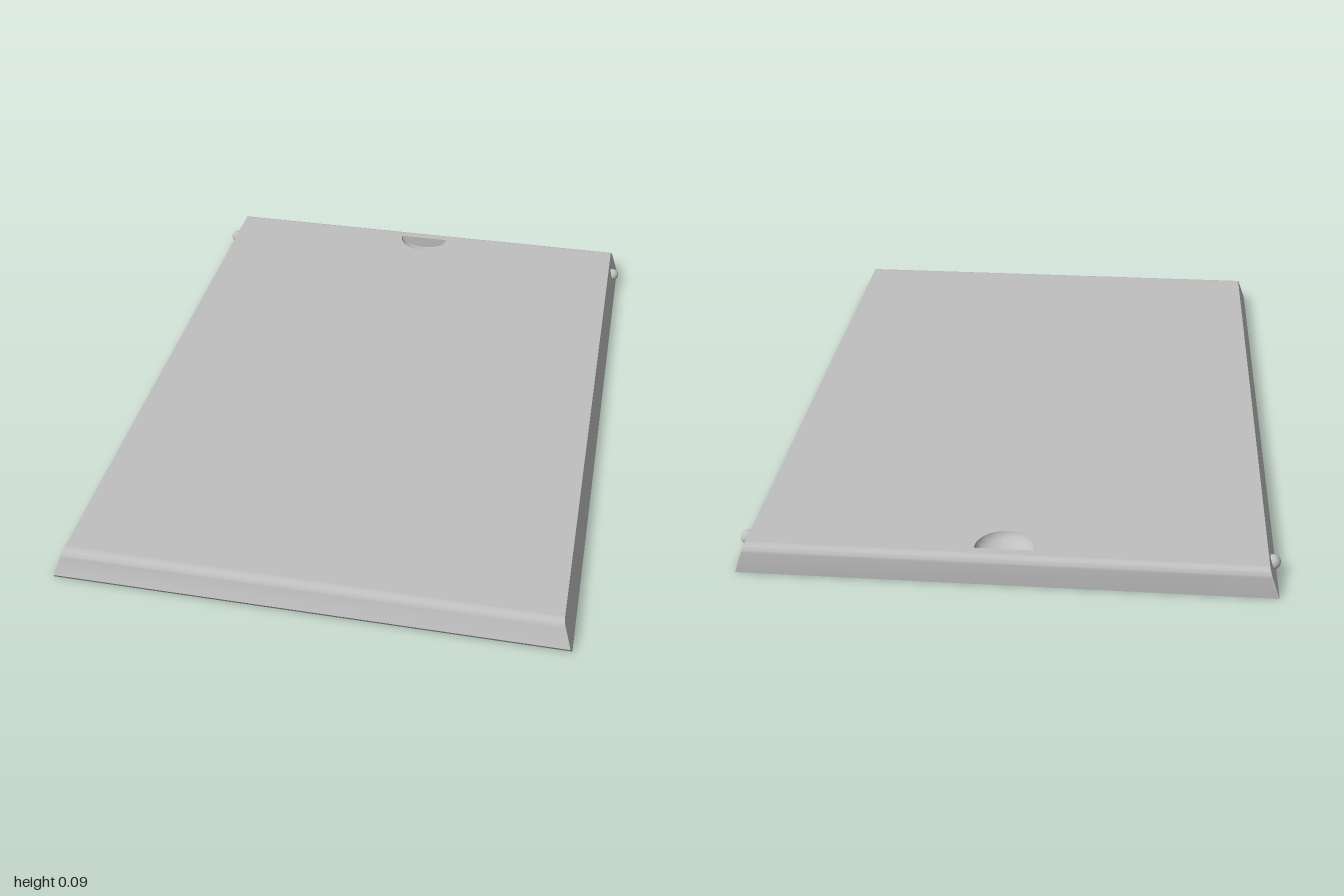
import * as THREE from 'three';
import { mergeGeometries, toCreasedNormals } from 'three/addons/utils/BufferGeometryUtils.js';

const TOP = 0.087;                                  // plate thickness
const halfWidth = (y) => 0.74 - 0.03 * y / TOP;     // dovetail sides lean inward
const V2 = (x, y) => new THREE.Vector2(x, y);
const V3 = (x, y, z) => new THREE.Vector3(x, y, z);

// Band of quads between two rows of points
function band(a, b) {
  const pts = [];
  for (let i = 0; i + 1 < a.length; i++) pts.push(a[i], b[i], b[i + 1], a[i], b[i + 1], a[i + 1]);
  const g = new THREE.BufferGeometry().setFromPoints(pts);
  g.computeVertexNormals();
  return g;
}

export function createModel() {
  const group = new THREE.Group();
  const grey = new THREE.MeshStandardMaterial({ color: 0xc0c0c0 });
  const add = (name, geometry) => {
    const mesh = new THREE.Mesh(geometry, grey);
    mesh.name = name;
    group.add(mesh);
    return mesh;
  };

  // Long section as (z, y): front lip rising, then back edge descending
  const front = [V2(0.99, 0), V2(1, 0.015), V2(0.977, 0.066)];
  for (let i = 1; i <= 5; i++) {
    const t = i / 5 * Math.PI / 2;
    front.push(V2(0.95 + 0.027 * Math.cos(t), 0.066 + 0.021 * Math.sin(t)));
  }
  const back = [];
  for (let i = 0; i <= 5; i++) {
    const t = i / 5 * Math.PI / 2;
    back.push(V2(-0.978 - 0.022 * Math.sin(t), TOP - 0.022 + 0.022 * Math.cos(t)));
  }
  back.push(V2(-1, 0));

  // Front and back edges
  const edge = (name, profile) => add(name, toCreasedNormals(band(
    profile.map((p) => V3(-halfWidth(p.y), p.y, p.x)),
    profile.map((p) => V3(halfWidth(p.y), p.y, p.x))), 0.4));
  edge('frontEdge', front);
  edge('backEdge', back);

  // Sloping sides and the small locking bumps
  for (const s of [1, -1]) {
    const outline = [...front, ...back].map((p) => V2(-s * p.x, p.y));
    const g = new THREE.ShapeGeometry(new THREE.Shape(outline)).rotateY(s * Math.PI / 2);
    const pos = g.attributes.position;
    for (let i = 0; i < pos.count; i++) pos.setX(i, s * halfWidth(pos.getY(i)));
    g.computeVertexNormals();
    add(s > 0 ? 'leftSide' : 'rightSide', g);
    const bump = add(s > 0 ? 'leftBump' : 'rightBump', new THREE.SphereGeometry(0.021, 20, 14));
    bump.position.set(s * 0.726, 0.047, -0.895);
  }

  // Thumb notch: a quarter bowl with an upright back wall
  const rx = 0.085, rz = 0.09, depth = 0.04, notchZ = -0.955;
  const ring = (phi) => Array.from({ length: 25 }, (_, i) => {
    const t = i / 24 * Math.PI, c = Math.cos(phi);
    return V3(rx * Math.cos(t) * c, TOP - depth * Math.sin(phi), notchZ + rz * Math.sin(t) * c);
  });
  const bowl = [];
  for (let j = 0; j < 8; j++) bowl.push(band(ring(j / 16 * Math.PI), ring((j + 1) / 16 * Math.PI)));
  add('thumbNotch', toCreasedNormals(mergeGeometries(bowl), 0.6));
  const wall = Array.from({ length: 25 }, (_, i) =>
    V2(-rx * Math.cos(i / 24 * Math.PI), TOP - depth * Math.sin(i / 24 * Math.PI)));
  add('notchBackWall', new THREE.ShapeGeometry(new THREE.Shape(wall)).translate(0, 0, notchZ));

  // Top face with the notch opening
  const topW = halfWidth(TOP);
  const topShape = new THREE.Shape([V2(-topW, -0.95), V2(topW, -0.95), V2(topW, 0.978), V2(-topW, 0.978)]);
  topShape.holes.push(new THREE.Path(ring(0).map((p) => V2(p.x, -p.z))));
  add('topFace', new THREE.ShapeGeometry(topShape).rotateX(-Math.PI / 2).translate(0, TOP, 0));

  // Honeycomb pockets, trimmed to a rectangle
  const pitch = 0.162, rowStep = 0.14, r = 0.07, limX = 0.57, limZ = 0.82, pocketTop = 0.058;
  const cells = [];
  for (let row = -6; row <= 6; row++) {
    const odd = Math.abs(row) % 2;
    for (let col = -4; col <= 3 + (odd ? 0 : 1); col++) {
      const cx = (col + odd / 2) * pitch, cz = row * rowStep;
      if (Math.abs(cx) > limX) continue;
      cells.push(Array.from({ length: 6 }, (_, k) => {
        const a = Math.PI / 2 - k * Math.PI / 3;
        return V2(THREE.MathUtils.clamp(cx + r * Math.cos(a), -limX, limX),
          THREE.MathUtils.clamp(cz + r * Math.sin(a), -limZ, limZ));
      }));
    }
  }
  add('pocketWalls', mergeGeometries(cells.map((c) => {
    const loop = [...c, c[0]];
    return band(loop.map((p) => V3(p.x, 0, p.y)), loop.map((p) => V3(p.x, pocketTop, p.y)));
  })));
  add('pocketCeilings', new THREE.ShapeGeometry(cells.map((c) => new THREE.Shape(c)))
    .rotateX(Math.PI / 2).translate(0, pocketTop, 0));

  // Underside with the pocket openings
  const baseShape = new THREE.Shape([V2(-0.74, -1), V2(0.74, -1), V2(0.74, 0.99), V2(-0.74, 0.99)]);
  for (const c of cells) baseShape.holes.push(new THREE.Path(c));
  add('underside', new THREE.ShapeGeometry(baseShape).rotateX(Math.PI / 2));

  return group;
}
